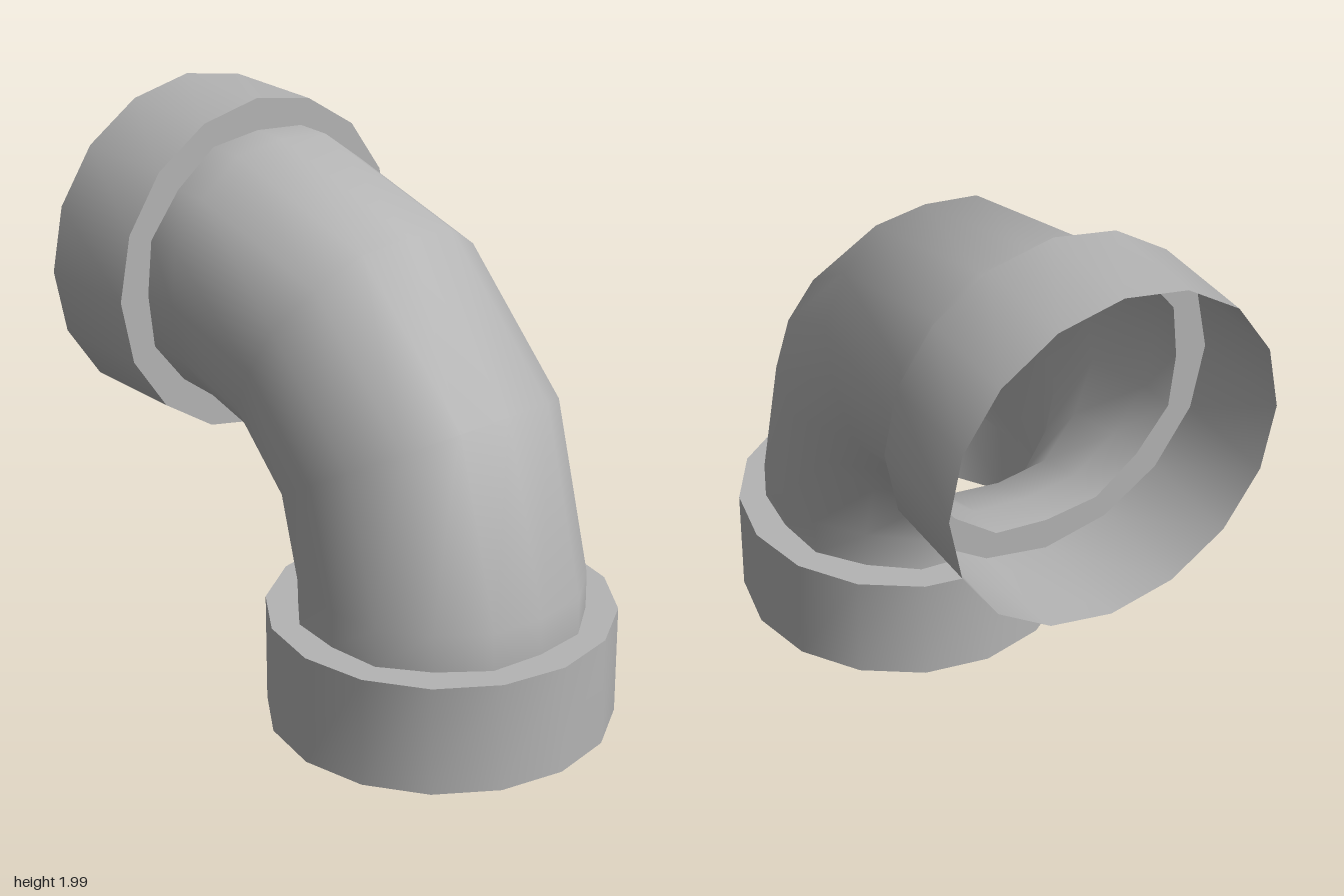
import * as THREE from 'three';

const SIDES = 16;
const BEND = { x: -0.458, y: 0.535, radius: 0.845 };
const PIPE_RADII = [0.496, 0.514, 0.5, 0.514]; // slightly uneven pipe outline, repeated per quarter
const COLLAR_RADII = [0.613];

// One cross-section: bend angle in degrees, straight offset along the pipe, outline radii
function ring(angle, offset, radii) {
  const t = THREE.MathUtils.degToRad(angle);
  const c = Math.cos(t), s = Math.sin(t);
  const points = [];
  for (let i = 0; i < SIDES; i++) {
    const a = (i / SIDES) * Math.PI * 2;
    const r = radii[i % radii.length];
    const out = BEND.radius + r * Math.cos(a);
    points.push(BEND.x + out * c - offset * s, BEND.y + out * s + offset * c, r * Math.sin(a));
  }
  return points;
}

// Smooth skin through a list of cross-sections
function loft(name, rings, material) {
  const index = [];
  for (let j = 0; j < rings.length - 1; j++) {
    for (let i = 0; i < SIDES; i++) {
      const k = (i + 1) % SIDES;
      const a = j * SIDES + i, b = j * SIDES + k;
      index.push(a, a + SIDES, b, a + SIDES, b + SIDES, b);
    }
  }
  const geometry = new THREE.BufferGeometry();
  geometry.setAttribute('position', new THREE.Float32BufferAttribute(rings.flat(), 3));
  geometry.setIndex(index);
  geometry.computeVertexNormals();
  const mesh = new THREE.Mesh(geometry, material);
  mesh.name = name;
  return mesh;
}

export function createModel() {
  const group = new THREE.Group();
  group.name = 'pipeElbow';
  const grey = new THREE.MeshStandardMaterial({ color: 0xb4b4b4, side: THREE.DoubleSide });
  grey.name = 'pipeGrey';

  // Bent pipe with a short straight length at each end
  const lower = -0.135, upper = 0.137;
  group.add(loft('elbowPipe', [
    ring(0, lower, PIPE_RADII),
    ...[0, 30, 60, 90].map((angle) => ring(angle, 0, PIPE_RADII)),
    ring(90, upper, PIPE_RADII),
  ], grey));

  // Open sockets
  group.add(loft('lowerCollar', [ring(0, -0.535, COLLAR_RADII), ring(0, lower, COLLAR_RADII)], grey));
  group.add(loft('upperCollar', [ring(90, upper, COLLAR_RADII), ring(90, 0.542, COLLAR_RADII)], grey));

  // Flat shoulders joining the pipe to the sockets
  group.add(loft('lowerShoulder', [ring(0, lower, COLLAR_RADII), ring(0, lower, PIPE_RADII)], grey));
  group.add(loft('upperShoulder', [ring(90, upper, PIPE_RADII), ring(90, upper, COLLAR_RADII)], grey));

  return group;
}
